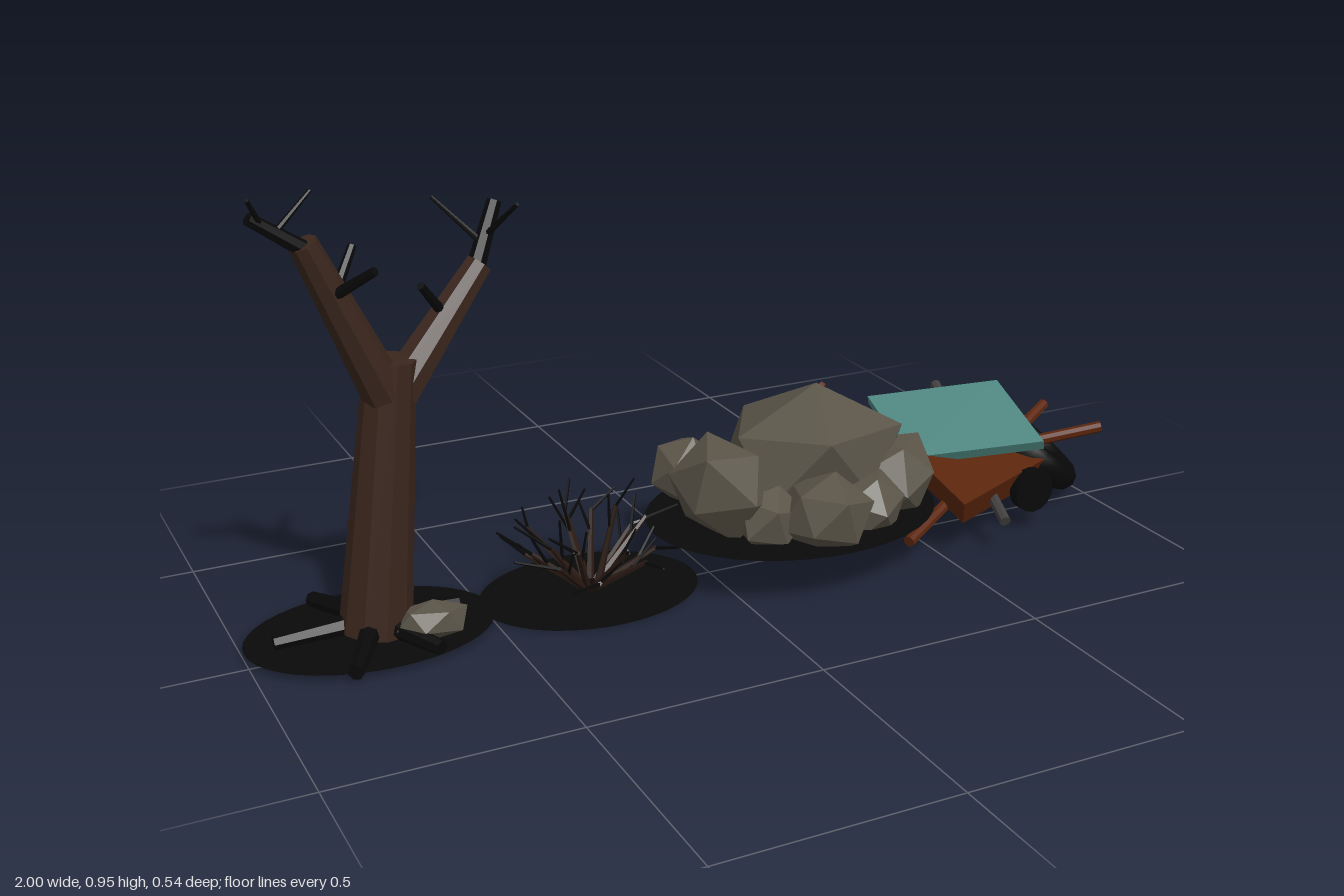
import * as THREE from 'three';

const mat = (name, color) => Object.assign(new THREE.MeshStandardMaterial({ color }), { name });

export function createModel() {
  const root = new THREE.Group();
  root.name = 'debrisField';
  const ash = mat('scorched ground', 0x090909);
  ash.side = THREE.DoubleSide;
  const char = mat('charred black', 0x080808);
  const bark = mat('burnt bark', 0x3a261d);
  const stem = mat('dry stem', 0x2a1a13);
  const stone = mat('stone', 0x5a5448);
  const rust = mat('rusty brown', 0x5c260d);
  const teal = mat('faded teal', 0x4c847e);
  const steel = mat('dull steel', 0x403f3d);
  const amber = mat('amber', 0x9c6610);

  let seed = 7;
  const rnd = () => (seed = (seed * 16807) % 2147483647) / 2147483647;
  const V = (a) => new THREE.Vector3(...a);
  const facet = (g) => {
    const f = g.index ? g.toNonIndexed() : g;
    f.computeVertexNormals();
    return f;
  };
  const group = (name) => {
    const g = new THREE.Group();
    g.name = name;
    root.add(g);
    return g;
  };
  const add = (parent, name, geo, m) => {
    const mesh = new THREE.Mesh(geo, m);
    mesh.name = name;
    parent.add(mesh);
    return mesh;
  };

  // Tapered rod from a to b
  const rod = (parent, name, a, b, r0, r1, m, sides = 6) => {
    const p = V(a), q = V(b), d = q.clone().sub(p);
    const mesh = add(parent, name, facet(new THREE.CylinderGeometry(r1, r0, d.length(), sides)), m);
    mesh.position.copy(p).add(q).multiplyScalar(0.5);
    mesh.quaternion.setFromUnitVectors(new THREE.Vector3(0, 1, 0), d.normalize());
    return mesh;
  };

  // Irregular twenty-sided stone
  const rock = (parent, name, c, s, turn, tilt = 0.3) => {
    const g = new THREE.IcosahedronGeometry(1, 0);
    const p = g.attributes.position, v = new THREE.Vector3();
    for (let i = 0; i < p.count; i++) {
      v.fromBufferAttribute(p, i);
      v.multiplyScalar(1.02 + 0.11 * Math.sin(v.x * 5 + v.y * 7 + v.z * 3 + turn * 4));
      p.setXYZ(i, v.x, v.y, v.z);
    }
    g.rotateY(turn).rotateZ(tilt).scale(...s);
    add(parent, name, facet(g), stone).position.set(...c);
  };

  // Box spanned by three edge vectors, with an optionally narrower base
  const skewBox = (parent, name, c, u, h, w, m, base = 1) => {
    const g = new THREE.BoxGeometry(1, 1, 1);
    const p = g.attributes.position;
    for (let i = 0; i < p.count; i++) {
      if (p.getY(i) < 0) p.setXYZ(i, p.getX(i) * base, p.getY(i), p.getZ(i) * base);
    }
    g.applyMatrix4(new THREE.Matrix4().makeBasis(V(u), V(h), V(w)));
    add(parent, name, facet(g), m).position.set(...c);
  };

  // Scorched oval patches
  const patch = (name, c, rx, rz) => {
    const g = new THREE.CircleGeometry(1, 40).rotateX(-Math.PI / 2).scale(rx, 1, rz);
    add(root, name, g, ash).position.set(...c);
  };
  patch('treePatch', [-0.743, 0.014, -0.037], 0.257, 0.183);
  patch('bushPatch', [-0.265, 0, -0.037], 0.24, 0.183);
  patch('rockPatch', [0.2, 0.115, 0], 0.33, 0.27);

  // Dead tree
  const tree = group('deadTree');
  rod(tree, 'trunk', [-0.735, 0.02, -0.027], [-0.678, 0.585, -0.018], 0.074, 0.051, bark, 10);
  rod(tree, 'leftFork', [-0.695, 0.52, -0.008], [-0.845, 0.847, 0.035], 0.045, 0.028, bark, 8);
  rod(tree, 'rightFork', [-0.665, 0.51, -0.025], [-0.47, 0.735, -0.073], 0.045, 0.028, bark, 8);
  [
    [[-0.835, 0.83, 0.035], [-0.945, 0.908, 0.05], 0.017, 0.013],
    [[-0.92, 0.89, 0.047], [-0.952, 0.95, 0.087], 0.006, 0.004],
    [[-0.895, 0.875, 0.043], [-0.825, 0.945, 0.038], 0.007, 0.004],
    [[-0.8, 0.735, 0.03], [-0.735, 0.8, 0.113], 0.012, 0.009],
    [[-0.79, 0.72, 0.01], [-0.735, 0.815, -0.027], 0.012, 0.009],
    [[-0.48, 0.72, -0.072], [-0.422, 0.85, -0.105], 0.02, 0.015],
    [[-0.45, 0.785, -0.088], [-0.417, 0.867, 0.01], 0.007, 0.004],
    [[-0.46, 0.775, -0.084], [-0.545, 0.866, -0.128], 0.007, 0.004],
    [[-0.56, 0.655, -0.045], [-0.615, 0.727, 0], 0.011, 0.008]
  ].forEach(([a, b, r0, r1]) => rod(tree, 'twig', a, b, r0, r1, char, 7));
  [[-0.83, 0.155], [-0.94, -0.04], [-0.82, -0.2], [-0.66, -0.21], [-0.555, -0.05], [-0.65, 0.13]]
    .forEach(([x, z]) => rod(tree, 'root', [-0.735, 0.04, -0.03], [x, 0.026, z], 0.024, 0.016, char, 7));
  rock(tree, 'treeStone', [-0.642, 0.05, 0.045], [0.073, 0.04, 0.057], 0.6);

  // Burnt bush: long leaning stems, each ending in thin crossing twigs
  const bush = group('burntBush');
  for (let i = 0; i < 16; i++) {
    const a = i * 2.4, lean = 0.25 + 0.9 * rnd(), len = 0.13 + 0.05 * rnd();
    const at = (p, ang, t, l) => [
      p[0] + Math.cos(ang) * Math.sin(t) * l,
      p[1] + Math.cos(t) * l,
      p[2] + Math.sin(ang) * Math.sin(t) * l
    ];
    const foot = at([-0.265, 0.012, -0.037], a, 1.57, 0.02);
    const tip = at(foot, a, lean, len);
    rod(bush, 'stem', foot, tip, 0.009, 0.005, stem, 5);
    for (const k of [-1, 1]) {
      const start = at(foot, a, lean, len * (0.82 + 0.15 * k));
      const end = at(start, a + k * 0.7, lean + 0.3 * k, 0.07 + 0.05 * rnd());
      rod(bush, 'bushTwig', start, end, 0.004, 0.0025, char, 4);
    }
  }

  // Boulder pile
  const pile = group('boulderPile');
  rock(pile, 'mainBoulder', [0.26, 0.225, -0.015], [0.225, 0.15, 0.175], 0.1, 0.5);
  [
    [[0.02, 0.205, 0.02], [0.125, 0.11, 0.125], 1.1],
    [[0.19, 0.165, 0.175], [0.1, 0.092, 0.095], 0.2],
    [[0.425, 0.175, 0.07], [0.095, 0.1, 0.095], 1.8],
    [[0.01, 0.185, -0.15], [0.075, 0.08, 0.08], 2.5],
    [[0.33, 0.18, -0.165], [0.065, 0.085, 0.065], 0.9],
    [[0.09, 0.15, 0.11], [0.08, 0.075, 0.07], 3.1],
    [[0.32, 0.15, 0.13], [0.085, 0.08, 0.075], 2.1],
    [[0.17, 0.14, -0.14], [0.08, 0.07, 0.07], 1.4],
    [[0.44, 0.16, -0.05], [0.07, 0.08, 0.07], 0.5]
  ].forEach(([c, s, t]) => rock(pile, 'boulder', c, s, t));
  rod(pile, 'splinter', [0.295, 0.318, -0.1], [0.347, 0.336, -0.125], 0.01, 0.01, rust, 5);

  // Wrecked handcart
  const cart = group('wreckedCart');
  skewBox(cart, 'tray', [0.685, 0.138, -0.02], [0.34, 0, -0.155], [-0.01, 0.068, 0.02], [0.01, -0.065, 0.28], rust, 0.9);
  skewBox(cart, 'loosePanel', [0.647, 0.226, -0.04], [0.26, 0.045, 0.145], [-0.008, 0.022, 0.008], [-0.01, -0.08, 0.205], teal);
  rod(cart, 'handle', [0.4, 0.06, -0.19], [0.94, 0.22, 0.12], 0.013, 0.013, rust, 8);
  rod(cart, 'handle', [0.4, 0.06, 0.17], [0.97, 0.185, -0.14], 0.013, 0.013, rust, 8);
  rod(cart, 'axleBar', [0.72, 0.245, -0.235], [0.63, 0.075, 0.2], 0.013, 0.013, steel, 8);

  // Leaning tyre and two small wheels
  const tyre = add(cart, 'tyre', new THREE.TorusGeometry(0.122, 0.034, 10, 28), char);
  tyre.position.set(0.872, 0.127, -0.082);
  tyre.quaternion.setFromUnitVectors(new THREE.Vector3(0, 0, 1), V([0.6, 0.76, 0.22]).normalize());
  for (const [x, y, z] of [[0.76, 0.095, 0.113], [0.55, 0.082, -0.08]]) {
    rod(cart, 'smallWheel', [x, y, z - 0.013], [x, y, z + 0.013], 0.05, 0.05, char, 16);
  }

  // Dropped lamp
  rod(root, 'droppedLamp', [0.445, 0.12, -0.165], [0.55, 0.11, -0.13], 0.044, 0.048, amber, 8);

  return root;
}
